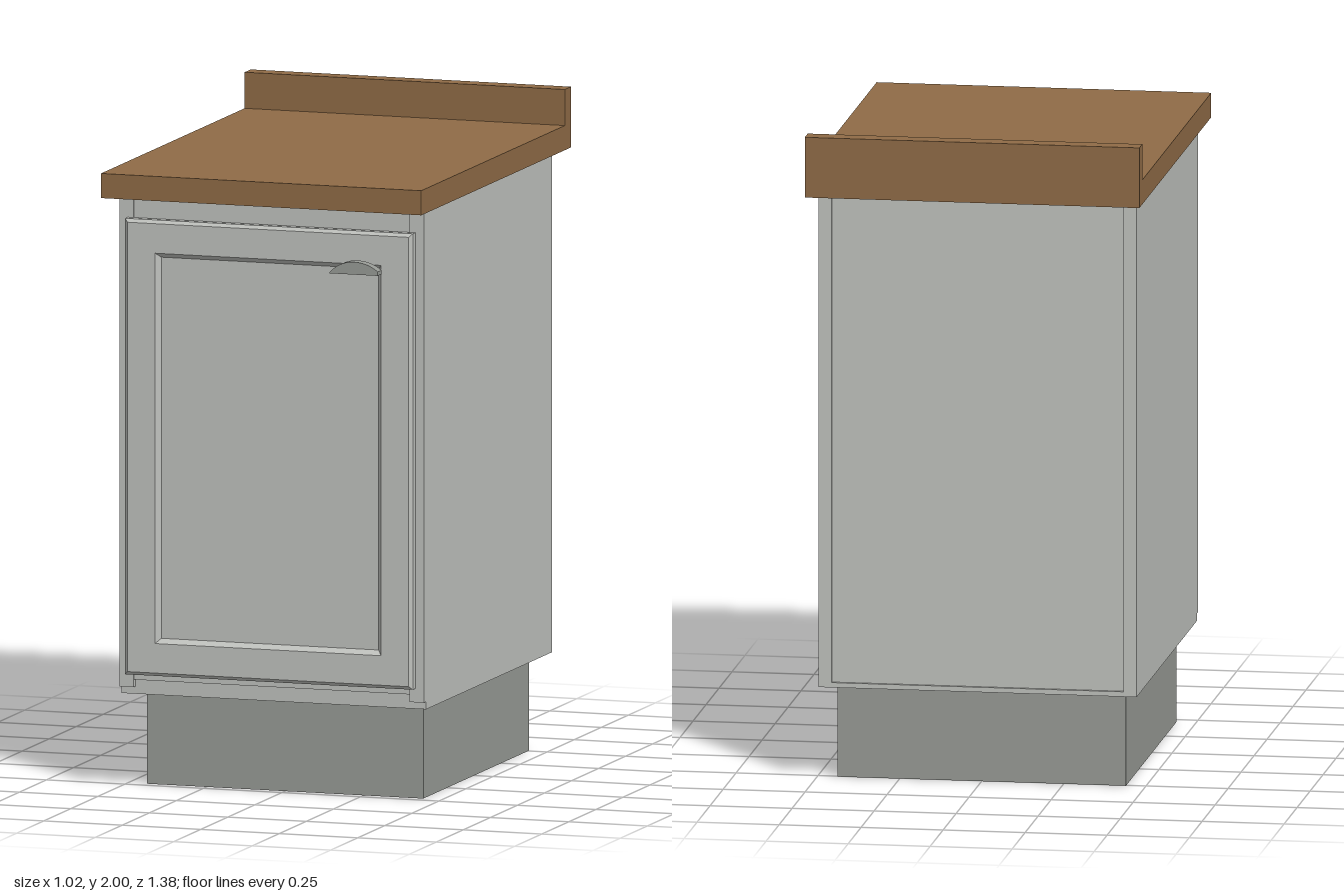
import * as THREE from 'three';

const paint = new THREE.MeshStandardMaterial({ name: 'cabinet paint', color: 0xbfc1bd });
const grey = new THREE.MeshStandardMaterial({ name: 'plinth grey', color: 0x979a95 });
const wood = new THREE.MeshStandardMaterial({ name: 'worktop wood', color: 0x8f6b46 });

// Box given by its minimum and maximum corners
function box(name, material, [x0, y0, z0], [x1, y1, z1]) {
  const mesh = new THREE.Mesh(new THREE.BoxGeometry(x1 - x0, y1 - y0, z1 - z0), material);
  mesh.position.set((x0 + x1) / 2, (y0 + y1) / 2, (z0 + z1) / 2);
  mesh.name = name;
  return mesh;
}

// Panel lofted through centred rectangles [halfWidth, halfHeight, z], closed at both ends
function loftedPanel(sections) {
  const corners = sections.map(([w, h, z]) => [[-w, -h, z], [w, -h, z], [w, h, z], [-w, h, z]]);
  const points = [];
  const quad = (a, b, c, d) => points.push(...a, ...b, ...c, ...a, ...c, ...d);
  for (let i = 0; i < corners.length - 1; i++) {
    for (let k = 0; k < 4; k++) {
      const n = (k + 1) % 4;
      quad(corners[i][k], corners[i][n], corners[i + 1][n], corners[i + 1][k]);
    }
  }
  quad(...corners[0].slice().reverse());
  quad(...corners[corners.length - 1]);
  const geometry = new THREE.BufferGeometry();
  geometry.setAttribute('position', new THREE.Float32BufferAttribute(points, 3));
  geometry.computeVertexNormals();
  return geometry;
}

export function createModel() {
  const model = new THREE.Group();
  model.name = 'baseCabinet';

  // Recessed plinth
  model.add(box('plinth', grey, [-0.44, 0, -0.507], [0.44, 0.29, 0.47]));

  // Carcass: core with side panels standing proud at the back
  model.add(box('carcass', paint, [-0.45, 0.29, -0.578], [0.45, 1.815, 0.575]));
  for (const [side, s] of [['left', 1], ['right', -1]]) {
    const x0 = Math.min(s * 0.445, s * 0.485);
    model.add(box(side + 'SidePanel', paint, [x0, 0.29, -0.587], [x0 + 0.04, 1.815, 0.575]));
    // Face frame stile
    const f0 = Math.min(s * 0.44, s * 0.485);
    model.add(box(side + 'Stile', paint, [f0, 0.313, 0.575], [f0 + 0.045, 1.815, 0.595]));
  }
  model.add(box('backBottomLip', paint, [-0.445, 0.29, -0.587], [0.445, 0.305, -0.57]));

  // Face frame rails, slightly behind the stiles
  model.add(box('topRail', paint, [-0.44, 1.7, 0.575], [0.44, 1.808, 0.588]));
  model.add(box('bottomRail', paint, [-0.44, 0.335, 0.575], [0.44, 0.42, 0.588]));

  // Door with chamfered rim and sunken centre panel
  const door = new THREE.Mesh(loftedPanel([
    [0.458, 0.695, 0.596],
    [0.458, 0.695, 0.619],
    [0.448, 0.685, 0.628],
    [0.36, 0.595, 0.628],
    [0.346, 0.581, 0.61],
  ]), paint);
  door.position.y = 1.05;
  door.name = 'door';
  model.add(door);

  // Arched handle
  const arch = new THREE.Shape();
  arch.moveTo(-0.077, 0);
  arch.lineTo(0.077, 0);
  arch.lineTo(0.077, 0.012);
  arch.quadraticCurveTo(0.045, 0.038, 0, 0.038);
  arch.quadraticCurveTo(-0.045, 0.038, -0.077, 0.003);
  const handle = new THREE.Mesh(
    new THREE.ExtrudeGeometry(arch, { depth: 0.035, bevelEnabled: false, curveSegments: 8 }), grey);
  handle.position.set(0.292, 1.622, 0.65);
  handle.name = 'handle';
  model.add(handle);

  // Worktop and backsplash
  model.add(box('worktop', wood, [-0.51, 1.815, -0.692], [0.51, 1.89, 0.692]));
  model.add(box('backsplash', wood, [-0.51, 1.89, -0.692], [0.51, 2, -0.635]));

  return model;
}
